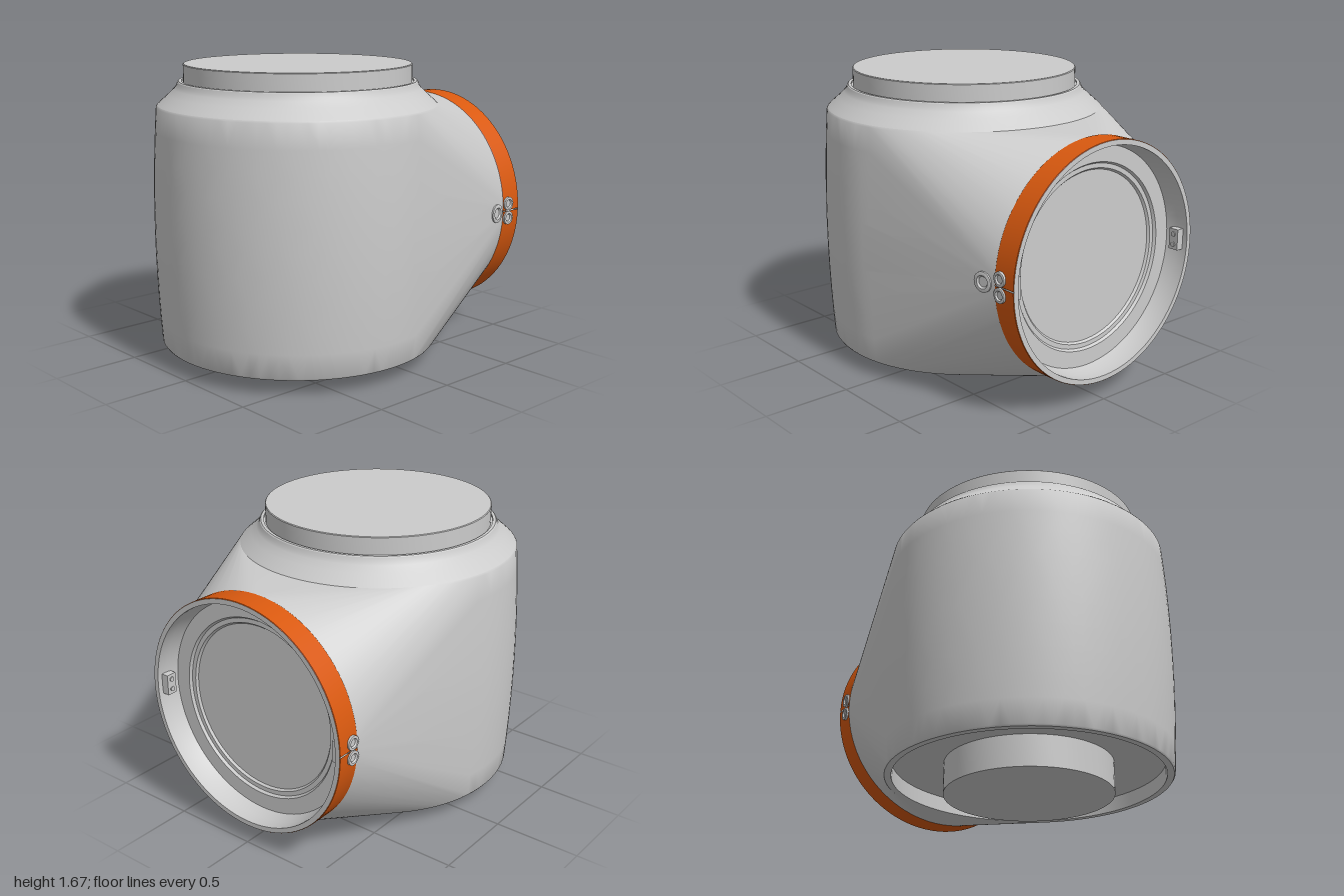
import * as THREE from 'three';
import { toCreasedNormals } from 'three/addons/utils/BufferGeometryUtils.js';
import { ConvexGeometry } from 'three/addons/geometries/ConvexGeometry.js';

const AXIS_Z = 0.18;   // vertical axis of the barrel
const RING_Y = 0.772;  // height of the rear opening
const SEG = 96;
const grey = new THREE.MeshStandardMaterial({ color: 0xcccccc });
const greyThin = new THREE.MeshStandardMaterial({ color: 0xcccccc, side: THREE.DoubleSide });
const orange = new THREE.MeshStandardMaterial({ color: 0xd9590f, side: THREE.DoubleSide });

const lathe = (profile, seg = SEG, start = 0, length = Math.PI * 2) =>
  toCreasedNormals(new THREE.LatheGeometry(
    profile.map(([r, y]) => new THREE.Vector2(r, y)), seg, start, length), 0.5);

function add(parent, name, geometry, material = grey) {
  const mesh = new THREE.Mesh(geometry, material);
  mesh.name = name;
  parent.add(mesh);
  return mesh;
}

// Bulged barrel stretched back to the round opening; its flat caps are left open
function housingGeometry() {
  const points = [];
  const rows = [[0.787, 0.09], [0.794, 0.1]];
  for (let i = 1; i < 10; i++) {
    const t = -1 + i / 5;
    rows.push([0.82 - 0.026 * t * t, 0.77 + 0.67 * t]);
  }
  rows.push([0.794, 1.44], [0.787, 1.45]);
  for (let i = 0; i < SEG; i++) {
    const a = (i / SEG) * Math.PI * 2, c = Math.cos(a), s = Math.sin(a);
    for (const [r, y] of rows) points.push(new THREE.Vector3(r * s, y, AXIS_Z + r * c));
    points.push(new THREE.Vector3(0.66 * s, RING_Y + 0.66 * c, -0.86));
  }
  const p = new ConvexGeometry(points).attributes.position;
  const kept = [];
  const tri = new THREE.Triangle();
  for (let i = 0; i < p.count; i += 3) {
    tri.setFromAttributeAndIndices(p, i, i + 1, i + 2);
    const v = [tri.a, tri.b, tri.c];
    const cap = v.every(q => q.y < 0.091) || v.every(q => q.y > 1.449) || v.every(q => q.z < -0.859);
    if (!cap && tri.getArea() > 1e-8) v.forEach(q => kept.push(q.x, q.y, q.z));
  }
  const g = new THREE.BufferGeometry();
  g.setAttribute('position', new THREE.Float32BufferAttribute(kept, 3));
  return toCreasedNormals(g, 0.6);
}

// Round fastener with a sunken centre, facing +x
const screwGeometry = r => lathe([
  [r, 0], [r, 0.016], [r * 0.92, 0.018], [r * 0.65, 0.018], [r * 0.5, 0.009], [0, 0.009],
], 24).rotateZ(-Math.PI / 2);

export function createModel() {
  const model = new THREE.Group();
  model.name = 'jointHousing';

  add(model, 'housing', housingGeometry());

  // Parts turned about the vertical axis
  const turned = new THREE.Group();
  turned.name = 'turnedParts';
  turned.position.z = AXIS_Z;
  model.add(turned);
  add(turned, 'shoulderAndTopDisc', lathe([
    [0.787, 1.45], [0.773, 1.463], [0.725, 1.505], [0.692, 1.538], [0.68, 1.555],
    [0.673, 1.575], [0.667, 1.58], [0.65, 1.58], [0.65, 1.57], [0.64, 1.57],
    [0.64, 1.671], [0.636, 1.675], [0, 1.675],
  ]));
  add(turned, 'bottomRecess', lathe([[0, 0.176], [0.75, 0.176], [0.75, 0.09], [0.787, 0.09]]));
  add(turned, 'bottomBoss', lathe([[0, 0], [0.467, 0], [0.467, 0.176]], 64));

  // Rear opening, turned about the z axis
  const rear = new THREE.Group();
  rear.name = 'rearOpening';
  rear.position.y = RING_Y;
  model.add(rear);
  const back = -Math.PI / 2;
  add(rear, 'openingLiner', lathe([
    [0.66, 1], [0.632, 1], [0.632, 0.93], [0.612, 0.87], [0.52, 0.87], [0.51, 0.855],
    [0.485, 0.855], [0.475, 0.842], [0, 0.842],
  ]).rotateX(back), greyThin);

  // Two half bands, split at the sides
  const gap = 0.005;
  for (const side of [1, -1]) {
    add(rear, 'clampBand', lathe([[0.66, 0.858], [0.6625, 0.862], [0.6625, 0.997], [0.66, 1]],
      SEG / 2, side * Math.PI / 2 + gap, Math.PI - 2 * gap).rotateX(back), orange);

    // Clamp block inside and screw pair outside each split
    const block = add(rear, 'clampBlock', new THREE.BoxGeometry(0.05, 0.12, 0.06));
    block.position.set(side * 0.612, 0, -0.94);
    for (const dy of [-0.043, 0.043]) {
      const screw = add(rear, 'bandScrew', screwGeometry(0.04));
      screw.position.set(side * 0.655, dy, -0.9);
      screw.rotation.y = side > 0 ? 0 : Math.PI;
      const nut = add(rear, 'blockNut', new THREE.CylinderGeometry(0.014, 0.014, 0.01, 12));
      nut.rotation.z = Math.PI / 2;
      nut.position.set(side * 0.586, dy * 0.7, -0.94);
    }
  }

  // Single plug on the left of the neck
  const plug = add(rear, 'neckPlug', screwGeometry(0.055));
  plug.position.set(0.665, 0, -0.782);
  plug.rotation.y = 0.16;

  return model;
}
